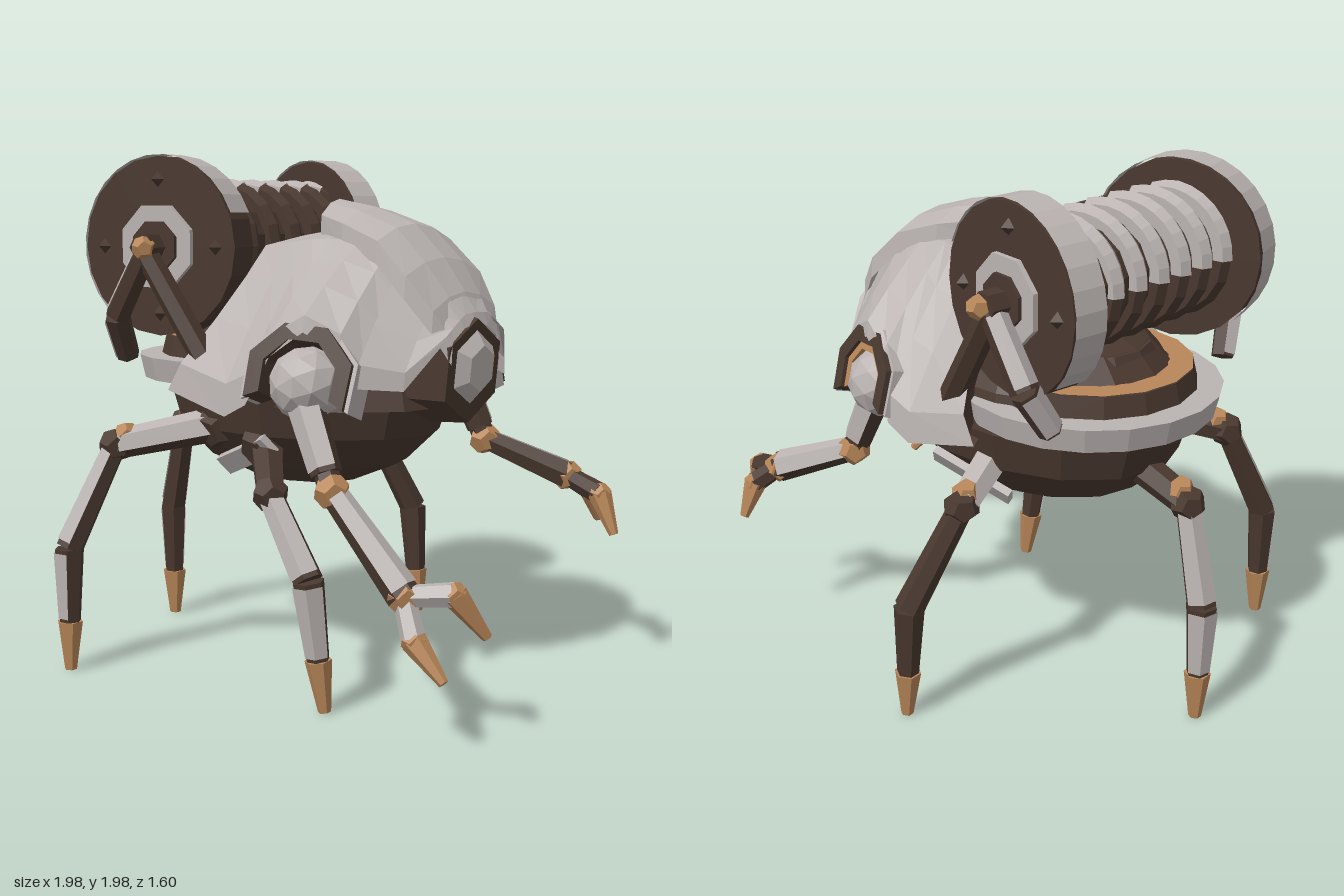
import * as THREE from 'three';

const mat = (name, color, side = THREE.FrontSide) => new THREE.MeshStandardMaterial({ name, color, side });
const V = (p) => new THREE.Vector3(...p);

export function createModel() {
  const root = new THREE.Group();
  root.name = 'mechanicalBeetle';
  const grey = mat('pale metal', 0xbab3b1, THREE.DoubleSide);
  const dark = mat('dark iron', 0x49382f, THREE.DoubleSide);
  const copper = mat('copper', 0xb98759);

  // Adds a faceted mesh to a group
  const add = (parent, name, geo, material, pos = [0, 0, 0], rot = [0, 0, 0]) => {
    const g = geo.index ? geo.toNonIndexed() : geo;
    g.computeVertexNormals();
    const m = new THREE.Mesh(g, material);
    m.name = name;
    m.position.set(...pos);
    m.rotation.set(...rot);
    parent.add(m);
    return m;
  };
  const group = (name) => {
    const g = new THREE.Group();
    g.name = name;
    root.add(g);
    return g;
  };
  // Six-sided tapered bar from a to b, with an optional pale cover on the two facets facing 'out'
  const bar = (parent, name, a, b, r0, r1, material, out) => {
    const A = V(a), B = V(b), y = B.clone().sub(A), len = y.length();
    y.normalize();
    const o = out ? V(out) : Math.abs(y.z) < 0.9 ? V([0, 0, 1]) : V([1, 0, 0]);
    const z = o.addScaledVector(y, -o.dot(y)).normalize();
    const x = y.clone().cross(z);
    const q = new THREE.Quaternion().setFromRotationMatrix(new THREE.Matrix4().makeBasis(x, y, z));
    const put = (n, geo, m) => {
      const mesh = add(parent, n, geo, m);
      mesh.quaternion.copy(q);
      mesh.position.copy(A).add(B).multiplyScalar(0.5);
    };
    put(name, new THREE.CylinderGeometry(r1, r0, len, 6), material);
    if (out) put(name + 'Cover', new THREE.CylinderGeometry(r1 + 0.005, r0 + 0.005, len * 0.9, 2, 1, true,
      -Math.PI / 3, Math.PI * 2 / 3), grey);
  };
  const joint = (parent, name, p, r, material) =>
    add(parent, name, new THREE.DodecahedronGeometry(r), material, p, [0.3, 0.4, 0.2]);
  // Surface through rows of equally many points
  const loft = (rows) => {
    const n = rows[0].length, idx = [];
    for (let i = 0; i + 1 < rows.length; i++) for (let j = 0; j + 1 < n; j++) {
      const a = i * n + j, b = a + 1, c = a + n, d = c + 1;
      idx.push(a, b, c, b, d, c);
    }
    const g = new THREE.BufferGeometry();
    g.setAttribute('position', new THREE.Float32BufferAttribute(rows.flat(2), 3));
    g.setIndex(idx);
    return g;
  };

  // Lower hull
  const body = group('body');
  const hull = add(body, 'hull', new THREE.SphereGeometry(1, 14, 8), dark, [-0.12, 1.1, 0]);
  hull.scale.set(0.62, 0.385, 0.45);
  add(body, 'neck', new THREE.CylinderGeometry(0.33, 0.43, 0.3, 12), dark, [0.14, 1.22, 0]);

  // Shell: arched sections [x, half width, bottom, top]
  const half = [[1, 0], [0.98, 0.18], [0.77, 0.47], [0.56, 0.73], [0.38, 0.94]];
  const profile = [...half, [0, 1], ...half.map(([w, h]) => [-w, h]).reverse()];
  const arch = ([x, w, yb, yt], skew = 0) =>
    profile.map(([u, h]) => [x - skew * (1 - h) ** 2, yb + (yt - yb) * h, u * w]);
  const sections = [[-0.13, 0.58, 1.12, 1.68], [0, 0.6, 1.05, 1.7], [0.1, 0.6, 1.1, 1.71], [0.17, 0.55, 1.27, 1.7],
    [0.29, 0.51, 1.36, 1.69], [0.41, 0.46, 1.29, 1.66], [0.48, 0.42, 1.17, 1.61], [0.58, 0.31, 1.18, 1.51],
    [0.65, 0.18, 1.34, 1.42]];
  const rows = sections.map((s, i) => arch(s, i === 0 ? 0.17 : 0));
  add(body, 'shell', loft(rows), grey);
  add(body, 'visor', loft([[0.47, 0.44, 1.17, 1.63], [0.59, 0.33, 1.16, 1.52], [0.67, 0.19, 1.33, 1.42]].map((s) => arch(s))), grey);
  add(body, 'shellRearWall', loft([rows[0].map(([x, y, z]) => [x + 0.02, y - 0.02, z * 0.97]),
    rows[0].map(([x, , z]) => [x + 0.03, 1.12, z * 0.9])]), dark);

  // Raised crest plate with side skirts
  const crest = [[0.05, 0.11, 1.82], [0.22, 0.2, 1.79], [0.4, 0.23, 1.73], [0.53, 0.24, 1.61], [0.62, 0.2, 1.49], [0.67, 0.15, 1.38]]
    .map(([x, w, y]) => [[1.04, -0.14], [1, -0.06], [0.5, -0.015], [0, 0], [-0.5, -0.015], [-1, -0.06], [-1.04, -0.14]]
      .map(([u, d]) => [x, y + d, u * w]));
  add(body, 'crest', loft([crest[0].map(([x, y, z]) => [x, Math.min(y, 1.68), z]), ...crest]), grey);

  // Eye: hexagonal housing and pointed lens
  const eye = group('eye');
  const hex = (r0, r1, h) => new THREE.CylinderGeometry(r0, r1, h, 6, 1, false, Math.PI / 2);
  const tilt = [0, 0, -Math.PI / 2 - 0.1];
  add(eye, 'eyeHousing', hex(0.19, 0.235, 0.26), dark, [0.53, 1.22, 0], tilt);
  add(eye, 'eyeLens', hex(0.085, 0.145, 0.045), grey, [0.675, 1.22, 0], tilt);

  // Shoulder sockets on both sides
  const archShape = (outer, inner) => {
    const pts = [];
    for (const [r, dir] of [[outer, 1], [inner, -1]]) for (let i = 0; i < 6; i++) {
      const a = Math.PI / 2 + dir * (i - 2.5) * 0.8;
      pts.push(new THREE.Vector2(r * Math.cos(a), r * Math.sin(a)));
    }
    return new THREE.Shape(pts);
  };
  for (const s of [1, -1]) {
    const sh = group(s > 0 ? 'leftShoulder' : 'rightShoulder');
    sh.position.set(0.27, 1.18, 0.475 * s);
    sh.rotation.set(-0.3 * s, 0.3 * s, 0);
    const strip = (name, outer, inner, depth, z, m) =>
      add(sh, name, new THREE.ExtrudeGeometry(archShape(outer, inner), { depth, bevelEnabled: false }), m, [0, 0, z * s - depth / 2]);
    strip('socketRim', 0.205, 0.145, 0.17, 0, dark);
    strip('socketHood', 0.222, 0.206, 0.15, -0.01, grey);
    add(sh, 'shoulderBall', new THREE.IcosahedronGeometry(0.135, 1), grey, [0, 0, -0.02 * s]);
    if (s < 0) strip('socketLining', 0.145, 0.115, 0.1, 0.02, copper);
    // Pale plates below the shell
    add(body, 'hipPlate', new THREE.BoxGeometry(0.33, 0.08, 0.03), grey, [-0.1, 0.87, 0.37 * s], [0.6 * s, 0, 0.45]);
  }

  // Rear turntable
  const deck = group('turntable');
  add(deck, 'deckRing', new THREE.CylinderGeometry(0.49, 0.47, 0.09, 20), grey, [-0.35, 1.17, 0]);
  add(deck, 'deckDrum', new THREE.CylinderGeometry(0.38, 0.4, 0.08, 16), dark, [-0.35, 1.25, 0]);
  add(deck, 'deckBand', new THREE.RingGeometry(0.29, 0.38, 16, 1), copper, [-0.35, 1.295, 0], [-Math.PI / 2, 0, 0]);
  add(deck, 'deckHub', new THREE.CylinderGeometry(0.22, 0.28, 0.1, 12), dark, [-0.35, 1.32, 0]);

  // Cable spool
  const spool = group('spool');
  add(spool, 'drum', new THREE.CylinderGeometry(0.205, 0.205, 0.8, 14), dark, [-0.41, 1.64, 0], [Math.PI / 2, 0, 0]);
  for (let i = 0; i < 7; i++) {
    const z = (i - 3) * 0.118, at = [-0.41 - z * 0.075, 1.64, z], lean = [0, 0.09, 0];
    add(spool, 'cable', new THREE.TorusGeometry(0.215, 0.04, 6, 18), dark, at, lean);
    const top = new THREE.TorusGeometry(0.218, 0.041, 6, 9, 1.9);
    top.rotateZ(1.25);
    add(spool, 'cableCover', top, grey, at, lean);
  }

  for (const s of [1, -1]) {
    const cx = s > 0 ? -0.445 : -0.39;
    // Splayed end flange with its rim, hub and bolts
    const f = group(s > 0 ? 'frontFlange' : 'backFlange');
    f.position.set(cx, 1.642, 0.42 * s);
    f.rotation.y = 0.19 * s;
    const flat = [Math.PI / 2, 0, 0];
    add(f, 'disc', new THREE.CylinderGeometry(0.335, 0.335, 0.13, 20), dark, [0, 0, 0], flat);
    add(f, 'rim', new THREE.CylinderGeometry(0.342, 0.342, 0.13, 16, 1, true, Math.PI * 0.62, Math.PI * 1.13), grey, [0, 0, 0], flat);
    add(f, 'hubPlate', new THREE.CylinderGeometry(0.165, 0.165, 0.03, 8, 1, false, Math.PI / 8), grey, [0, 0, 0.07 * s], flat);
    add(f, 'hubCore', new THREE.CylinderGeometry(0.1, 0.1, 0.06, 8, 1, false, Math.PI / 8), dark, [0, 0, 0.07 * s], flat);
    for (let k = 0; k < 4; k++) {
      const a = k * Math.PI / 2;
      add(f, 'bolt', new THREE.ConeGeometry(0.032, 0.035, 4), dark, [0.25 * Math.cos(a), 0.25 * Math.sin(a), 0.08 * s], [s * Math.PI / 2, 0, 0]);
    }
    // Two-legged bracket carrying the axle
    const b = group(s > 0 ? 'frontBracket' : 'backBracket');
    const top = [cx + 0.02, 1.62, 0.56 * s], bulge = [cx - 0.13, 1.38, 0.57 * s];
    bar(b, 'strutRearLower', [cx - 0.17, 1.22, 0.48 * s], bulge, 0.045, 0.05, dark, [-1, 0.4, 0.3 * s]);
    bar(b, 'strutRearUpper', bulge, top, 0.05, 0.045, dark, [-1, 0.4, 0.3 * s]);
    bar(b, 'strutFront', [cx + 0.27, 1.22, 0.5 * s], top, 0.05, 0.045, dark);
    bar(b, 'axle', [cx, 1.64, 0.42 * s], [cx + 0.03, 1.64, 0.59 * s], 0.055, 0.055, dark);
    joint(b, 'axleCap', [cx + 0.045, 1.64, 0.595 * s], 0.045, copper);
  }

  // Walking legs: hip, knee, shin top, foot, pale cover directions of thigh and shin, copper knee
  const legs = [
    ['rearLeg', [-0.5, 1.0, -0.04], [-0.83, 0.87, -0.04], [-0.92, 0.49, -0.05], [-0.92, 0.01, -0.05], null, [-0.8, 0.2, -0.8], true],
    ['frontRearLeg', [-0.25, 0.97, 0.34], [-0.6, 0.88, 0.57], [-0.69, 0.49, 0.74], [-0.69, 0.01, 0.75], [0.2, 0.7, 1], [-0.4, 0.3, 1], true],
    ['backSideLeg', [-0.18, 0.98, -0.32], [-0.24, 0.87, -0.58], [-0.12, 0.48, -0.74], [-0.09, 0.01, -0.74], [-0.6, 1, 0], null, true],
    ['frontSideLeg', [-0.03, 0.92, 0.34], [0.13, 0.77, 0.5], [0.33, 0.49, 0.53], [0.37, 0.01, 0.49], null, [0.5, 0.3, 1], false],
  ];
  for (const [name, hip, knee, shin, foot, thighOut, shinOut, cap] of legs) {
    const g = group(name);
    const ankle = V(foot).lerp(V(shin), 0.4).toArray();
    joint(g, 'hipJoint', hip, 0.1, dark);
    bar(g, 'thigh', hip, knee, 0.065, 0.055, dark, thighOut);
    joint(g, 'kneeJoint', knee, 0.068, dark);
    const k = V(knee).lerp(V(hip), 0.1).add(V([0, 0.03, 0])).toArray();
    if (cap) joint(g, 'kneeCap', k, 0.052, copper);
    bar(g, 'upperShin', knee, shin, 0.045, 0.056, dark, shinOut);
    bar(g, 'lowerShin', shin, ankle, 0.058, 0.042, dark, shinOut);
    bar(g, 'footTip', ankle, foot, 0.05, 0.024, copper);
  }

  // Arms: shoulder, elbow, wrist, forearm cover direction, knuckle material, fingers as knuckle and tip
  const arms = [
    ['leftArm', [0.25, 1.18, 0.48], [0.45, 0.83, 0.55], [0.74, 0.51, 0.53], [0.6, 1, 0.4], grey,
      [[[0.9, 0.53, 0.47], [0.98, 0.38, 0.39]], [[0.81, 0.38, 0.57], [0.93, 0.26, 0.57]]]],
    ['rightArm', [0.27, 1.18, -0.46], [0.4, 0.87, -0.5], [0.71, 0.74, -0.62], [-0.3, 1, -0.8], dark,
      [[[0.87, 0.69, -0.59], [0.94, 0.54, -0.58]], [[0.77, 0.68, -0.7], [0.78, 0.55, -0.76]]]],
  ];
  for (const [name, shoulder, elbow, wrist, out, knuckle, fingers] of arms) {
    const g = group(name);
    bar(g, 'upperArm', shoulder, V(shoulder).lerp(V(elbow), 0.85).toArray(), 0.066, 0.056, dark, [0.2, 0.4, Math.sign(elbow[2])]);
    bar(g, 'elbowPin', shoulder, elbow, 0.05, 0.045, dark);
    joint(g, 'elbow', elbow, 0.065, copper);
    bar(g, 'forearm', elbow, wrist, 0.045, 0.06, dark, out);
    joint(g, 'wrist', wrist, 0.062, copper);
    for (const [mid, tip] of fingers) {
      bar(g, 'fingerBase', wrist, mid, 0.038, 0.044, knuckle);
      joint(g, 'knuckle', mid, 0.046, copper);
      bar(g, 'fingerTip', mid, tip, 0.046, 0.018, copper);
    }
  }
  return root;
}
